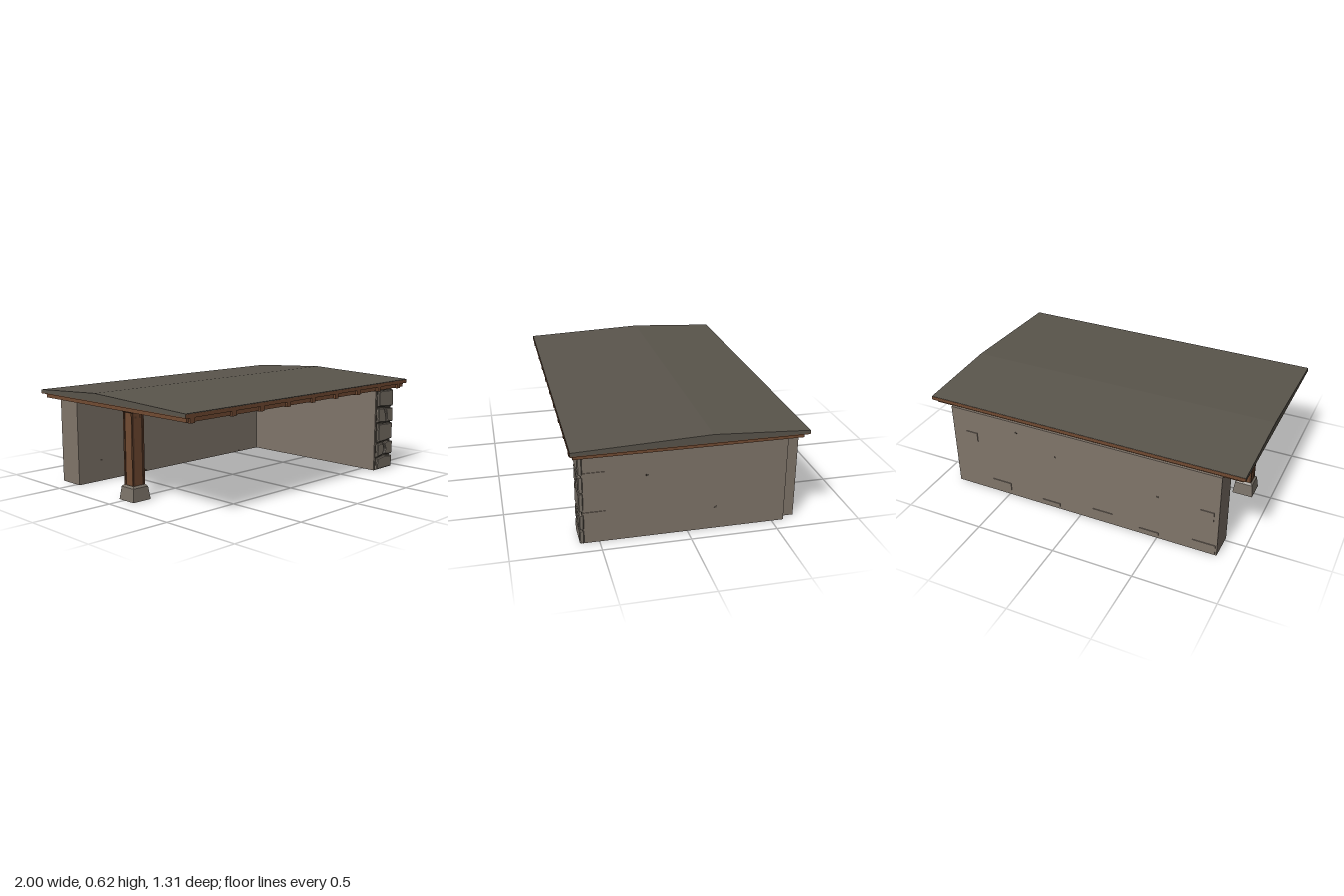
import * as THREE from 'three';

export function createModel() {
  const model = new THREE.Group();
  const mat = (name, color, side = THREE.FrontSide) => {
    const m = new THREE.MeshStandardMaterial({ color, side });
    m.name = name;
    return m;
  };
  const plaster = mat('plaster', 0x80756a, THREE.DoubleSide);
  const stone = mat('stone', 0x7a7268, THREE.DoubleSide);
  const mortar = mat('mortar', 0x4a443c);
  const roofGrey = mat('roof grey', 0x5a554c);
  const wood = mat('wood', 0x724b32);
  const darkWood = mat('dark wood', 0x5a3b28);

  const add = (name, geometry, material, parent = model) => {
    const mesh = new THREE.Mesh(geometry, material);
    mesh.name = name;
    parent.add(mesh);
    return mesh;
  };
  const group = (name) => {
    const g = new THREE.Group();
    g.name = name;
    model.add(g);
    return g;
  };
  // Box given by its limits on each axis; optionally without a bottom
  const box = (x0, x1, y0, y1, z0, z1, open = false) => {
    const g = new THREE.BoxGeometry(x1 - x0, y1 - y0, z1 - z0);
    if (open) {
      const index = Array.from(g.index.array);
      index.splice(18, 6);
      g.setIndex(index);
      g.clearGroups();
    }
    return g.translate((x0 + x1) / 2, (y0 + y1) / 2, (z0 + z1) / 2);
  };
  // Open square frustum, rising from y0 to y1
  const frustum = (w0, w1, y0, y1) => {
    const g = new THREE.CylinderGeometry(w1 * Math.SQRT1_2, w0 * Math.SQRT1_2, y1 - y0, 4, 1, true)
      .rotateY(Math.PI / 4).translate(0, (y0 + y1) / 2, 0).toNonIndexed();
    g.computeVertexNormals();
    return g;
  };

  // Hollow walls forming an L
  add('backWall', box(-0.87, 0.87, 0, 0.55, -0.645, -0.475, true), plaster);
  add('sideWall', box(0.74, 0.91, 0, 0.55, -0.57, 0.592, true), plaster);

  // Roof: low ridge set behind the middle
  const profile = new THREE.Shape([
    [-0.655, 0.577], [0.655, 0.577], [0.655, 0.595], [0.11, 0.625], [-0.655, 0.597],
  ].map(([a, b]) => new THREE.Vector2(a, b)));
  add('roof', new THREE.ExtrudeGeometry(profile, { depth: 2, bevelEnabled: false })
    .rotateY(Math.PI / 2).translate(-1, 0, 0), roofGrey);
  add('roofUnderside', box(-1, 1, 0.572, 0.577, -0.655, 0.655), wood);
  for (const s of [-1, 1]) {
    add('roofEdge', box(-1, 1, 0.572, 0.593, s * 0.6555 - 0.001, s * 0.6555 + 0.001), wood);
  }
  add('ceiling', box(-0.98, 0.98, 0.547, 0.572, -0.63, 0.64), wood);

  // Rafter tips along the front
  const rafters = group('rafterTips');
  for (let i = 0; i < 9; i++) {
    const x = i === 0 ? -0.95 : -0.65 + (i - 1) * 0.223;
    add('rafterTip', box(x - 0.016, x + 0.016, 0.543, 0.572, 0.6, 0.653), wood, rafters);
  }

  // Post on its stone foot
  const post = group('post');
  post.position.set(-0.828, 0, 0.02);
  add('postCore', box(-0.037, 0.037, 0.04, 0.55, -0.037, 0.037), wood, post);
  for (const x of [-0.036, 0.036]) {
    for (const z of [-0.036, 0.036]) {
      add('postEdge', box(x - 0.006, x + 0.006, 0.04, 0.53, z - 0.006, z + 0.006), darkWood, post);
    }
  }
  add('postCapTaper', frustum(0.085, 0.115, 0.515, 0.53), darkWood, post);
  add('postCap', box(-0.059, 0.059, 0.53, 0.548, -0.059, 0.059), wood, post);
  for (const x of [-0.016, 0.016]) {
    for (const s of [-1, 1]) {
      add('peg', box(x - 0.006, x + 0.006, 0.482, 0.494, s * 0.038 - 0.002, s * 0.038 + 0.002), darkWood, post);
    }
  }
  add('footBody', frustum(0.128, 0.108, 0, 0.078), stone, post);
  add('footShoulder', frustum(0.108, 0.086, 0.078, 0.09), stone, post);

  // Rough stones on the end of the side wall
  const stones = group('endStones');
  add('mortarBed', box(0.752, 0.914, 0.004, 0.54, 0.588, 0.595), mortar, stones);
  const outlines = [
    [[0.755, 0.006], [0.918, 0.006], [0.92, 0.08], [0.84, 0.09], [0.755, 0.078]],
    [[0.755, 0.09], [0.815, 0.1], [0.835, 0.135], [0.815, 0.18], [0.758, 0.175]],
    [[0.83, 0.102], [0.92, 0.092], [0.924, 0.178], [0.87, 0.185], [0.828, 0.175], [0.848, 0.135]],
    [[0.758, 0.19], [0.84, 0.192], [0.915, 0.2], [0.916, 0.305], [0.76, 0.312]],
    [[0.755, 0.325], [0.845, 0.318], [0.838, 0.37], [0.82, 0.412], [0.757, 0.42]],
    [[0.857, 0.318], [0.922, 0.316], [0.918, 0.405], [0.835, 0.415], [0.85, 0.37]],
    [[0.757, 0.432], [0.84, 0.424], [0.918, 0.42], [0.916, 0.53], [0.757, 0.533]],
  ];
  const b = 0.005;
  for (const points of outlines) {
    const shape = new THREE.Shape(points.map(([x, y]) => new THREE.Vector2(x, y)));
    add('endStone', new THREE.ExtrudeGeometry(shape, {
      depth: 0.016, bevelSize: b, bevelThickness: b, bevelOffset: -b, bevelSegments: 1,
    }).translate(0, 0, 0.59), stone, stones);
  }

  // Long corner stones bonding into the outer face
  for (const [y0, y1, z0] of [[0.095, 0.19, 0.465], [0.305, 0.428, 0.46]]) {
    add('cornerStone', box(0.905, 0.914, y0, y1, z0, 0.59), plaster, stones);
  }

  // Bricks showing through the back wall
  const bricks = group('backBricks');
  for (const [x, y, w, h] of [
    [-0.79, 0.03, 0.14, 0.06], [-0.45, 0.02, 0.12, 0.02], [-0.15, 0.05, 0.13, 0.04],
    [0.2, 0.02, 0.12, 0.02], [0.55, 0.05, 0.13, 0.05], [0.74, 0.36, 0.08, 0.06],
    [-0.8, 0.26, 0.08, 0.06],
  ]) {
    add('brick', box(x - w / 2, x + w / 2, y - h / 2 + 0.01, y + h / 2 + 0.01, -0.65, -0.643), plaster, bricks);
  }

  // Small chips in the plaster
  const chips = group('plasterChips');
  const chip = (x, y, z, alongZ) => add('chip', box(
    x - (alongZ ? 0.001 : 0.007), x + (alongZ ? 0.001 : 0.007), y - 0.005, y + 0.005,
    z - (alongZ ? 0.007 : 0.001), z + (alongZ ? 0.007 : 0.001)), mortar, chips);
  for (const [x, y] of [[0.29, 0.465], [-0.11, 0.365], [-0.7, 0.135], [-0.34, 0.008], [0.545, 0.008]]) {
    chip(x, y, -0.475, false);
  }
  for (const [x, y] of [[0.42, 0.48], [0.16, 0.38], [-0.5, 0.3]]) chip(x, y, -0.645, false);
  for (const [z, y] of [[0.23, 0.38], [-0.16, 0.135]]) chip(0.91, y, z, true);

  return model;
}
